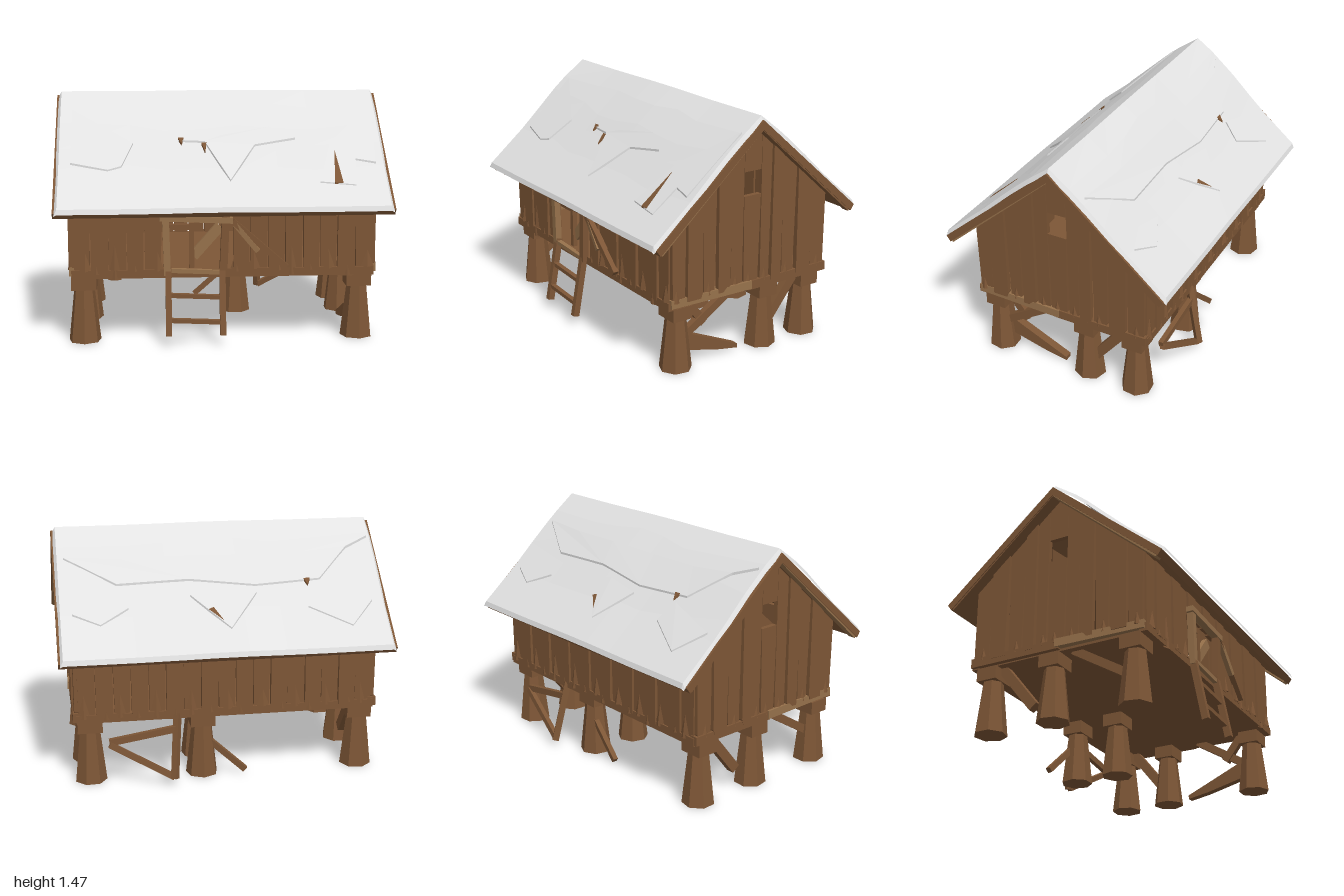
import * as THREE from 'three';

export function createModel() {
  const root = new THREE.Group();
  const mat = (name, color) => {
    const m = new THREE.MeshStandardMaterial({ color });
    m.name = name;
    return m;
  };
  const wood = mat('weathered wood', 0x7d5636);
  const worn = mat('worn pale wood', 0x96714b);
  const snow = mat('snow', 0xe2e2e2);

  let seed = 7;
  const rnd = (a, b) => {
    seed = (seed * 16807) % 2147483647;
    return a + (b - a) * (seed / 2147483647);
  };
  // faceted mesh
  const add = (name, geo, m) => {
    const g = geo.index ? geo.toNonIndexed() : geo;
    g.computeVertexNormals();
    const mesh = new THREE.Mesh(g, m);
    mesh.name = name;
    root.add(mesh);
    return mesh;
  };
  const box = (name, x, y, z, w, h, d, m = wood) =>
    add(name, new THREE.BoxGeometry(w, h, d).translate(x, y, z), m);
  // straight timber between two points
  const beam = (name, a, b, w, d, m = wood) => {
    const A = new THREE.Vector3(...a), B = new THREE.Vector3(...b);
    const dir = B.clone().sub(A), len = dir.length();
    const mesh = add(name, new THREE.BoxGeometry(w, len, d), m);
    mesh.position.copy(A).add(B).multiplyScalar(0.5);
    mesh.quaternion.setFromUnitVectors(new THREE.Vector3(0, 1, 0), dir.normalize());
  };
  const slab = (pts, depth) => new THREE.ExtrudeGeometry(
    new THREE.Shape(pts.map(p => new THREE.Vector2(...p))), { depth, bevelEnabled: false }
  ).translate(0, 0, -depth / 2);

  // floor and its edge timbers
  box('floor', 0, 0.425, 0, 1.78, 0.05, 1.1);
  for (const s of [-1, 1]) {
    box('sill', 0, 0.425, s * 0.55, 1.8, 0.05, 0.05);
    beam('gableSill', [s * 0.895, 0.435, -0.57], [s * 0.895, 0.435, 0.02], 0.05, 0.055);
    beam('gableSill', [s * 0.9, 0.44, 0], [s * 0.885, 0.44, 0.56], 0.055, 0.05, worn);
  }

  // stilts with square caps
  const stilts = [[-0.83, 0.47], [0.82, 0.47], [-0.83, -0.05], [0.82, -0.15],
    [0.13, -0.17], [-0.83, -0.47], [0.82, -0.47], [0.14, -0.47]];
  for (const [x, z] of stilts) {
    const post = add('stilt', new THREE.CylinderGeometry(0.06, 0.098, 0.34, 7), wood);
    post.position.set(x, 0.17, z);
    post.rotation.y = rnd(0, 3);
    box('stiltCap', x, 0.36, z, 0.15, 0.08, 0.13);
  }

  // braces between stilts
  for (const s of [-1, 1]) {
    beam('brace', [s * 0.83, 0.2, 0.42], [s * 0.83, 0.41, 0.08], 0.04, 0.05);
    beam('brace', [s * 0.82, 0.12, -0.18], [s * 0.82, 0.41, -0.41], 0.05, 0.06);
  }
  beam('brace', [0.82, 0.4, 0.4], [0.82, 0.24, 0.28], 0.04, 0.05);
  add('fallenBrace', slab([[0.4, 0.2], [0.4, 0.09], [0.16, 0.03], [0.02, 0.005], [0.02, 0.03]], 0.05)
    .rotateY(-Math.PI / 2).translate(0.8, 0, 0), wood);
  beam('brokenBrace', [0.1, 0.22, -0.5], [-0.12, 0.02, -0.52], 0.035, 0.03);

  // gable walls of tapering planks, with a small window
  const under = z => 1.41 - 0.88 * Math.abs(z);
  const edges = [-0.56, -0.45, -0.33, -0.22, -0.14, -0.06, 0.06, 0.15, 0.25, 0.35, 0.46, 0.56];
  for (const s of [-1, 1]) {
    const plank = (pts, off = 0) =>
      add('gablePlank', slab(pts, 0.03).rotateY(-Math.PI / 2).translate(s * (0.895 + off), 0, 0), wood);
    for (let i = 0; i < edges.length - 1; i++) {
      const a = edges[i], b = edges[i + 1], gap = 0.004 + 0.004 * (i % 3);
      const off = 0.012 * (i % 2);
      if (a === -0.06) {
        plank([[a + 0.01, 0.44], [b - 0.008, 0.44], [b, 0.985], [a, 0.985]]);
        plank([[a, 1.13], [b, 1.13], [b, under(b)], [0, under(0)], [a, under(a)]]);
      } else {
        plank([[a + gap, 0.47], [a + gap + 0.01, 0.44], [b - gap, 0.44], [b - gap, 0.52],
          [b - 0.002, under(b)], [a + 0.002, under(a)]], off);
      }
      // splintered plank foot
      const foot = add('plankFoot', new THREE.ConeGeometry(0.035, 0.11, 4), wood);
      foot.position.set(s * 0.905, 0.5, (a + b) / 2 + rnd(-0.02, 0.02));
      foot.scale.x = 0.5;
    }
    // rafters carrying the roof edge
    for (const t of [-1, 1])
      beam('rafter', [s * 0.965, 1.41, 0], [s * 0.965, 0.8, t * 0.69], 0.05, 0.045, t > 0 ? worn : wood);
  }
  add('windowShard', slab([[0.06, 0.985], [-0.06, 0.985], [-0.06, 1.09]], 0.02)
    .rotateY(-Math.PI / 2).translate(-0.87, 0, 0), wood);

  // long side walls, leaving the doorway open in front
  for (const s of [-1, 1]) {
    const n = 17, w = 1.78 / n;
    for (let i = 0; i < n; i++) {
      const a = -0.89 + i * w, b = a + w, c = (a + b) / 2;
      const door = s > 0 && c > -0.34 && c < 0.02;
      const low = door ? 0.74 : 0.43, g = rnd(0, 0.009);
      const p = add('sidePlank', slab([[a + g, low], [b - g, low], [b, 0.89], [a, 0.89]], 0.03), wood);
      p.position.z = s * (0.55 + 0.012 * (i % 2));
      if (door) continue;
      const foot = add('plankFoot', new THREE.ConeGeometry(0.04, rnd(0.1, 0.22), 4), wood);
      foot.position.set(c + rnd(-0.03, 0.03), 0.5, s * 0.565);
      foot.scale.z = 0.45;
    }
  }

  // doorway frame, inner hatch and leaning door board
  beam('doorPost', [-0.335, 0.42, 0.585], [-0.345, 0.77, 0.585], 0.04, 0.04, worn);
  beam('doorPost', [-0.005, 0.42, 0.585], [0.01, 0.77, 0.585], 0.045, 0.04);
  beam('doorHeader', [-0.38, 0.765, 0.59], [0.05, 0.745, 0.59], 0.035, 0.045, worn);
  box('hatchBoard', -0.19, 0.59, 0.545, 0.03, 0.27, 0.03);
  box('hatchBoard', -0.26, 0.7, 0.545, 0.15, 0.035, 0.03);
  beam('doorBrace', [-0.18, 0.52, 0.53], [-0.02, 0.7, 0.53], 0.06, 0.03, worn);
  beam('doorBoard', [0.05, 0.74, 0.59], [0.37, 0.46, 0.59], 0.035, 0.035);
  beam('doorBoard', [0.05, 0.74, 0.59], [0.2, 0.56, 0.6], 0.03, 0.03, worn);

  // front ladder
  for (const x of [-0.33, -0.01])
    beam('ladderRail', [x, 0.065, 0.655], [x, 0.47, 0.58], 0.035, 0.04);
  [[0.15, 0.64], [0.295, 0.612], [0.44, 0.585]].forEach(([y, z]) =>
    beam('ladderRung', [-0.33, y + 0.008, z], [-0.01, y - 0.008, z], 0.025, 0.03, y > 0.4 ? worn : wood));

  // broken rear ladder
  beam('rearLadderRail', [0.3, 0.43, -0.56], [0.33, 0.045, -0.65], 0.035, 0.04);
  beam('rearLadderRail', [0.33, 0.05, -0.64], [0.71, 0.26, -0.58], 0.035, 0.03);
  beam('rearLadderRung', [0.3, 0.34, -0.58], [0.71, 0.27, -0.57], 0.04, 0.03);

  // wooden roof shell
  add('roofBoards', slab([[0, 1.44], [0.715, 0.82], [0.69, 0.785], [0, 1.385],
    [-0.69, 0.785], [-0.715, 0.82]], 1.99).rotateY(-Math.PI / 2), wood);

  // snow blanket: fuller near the ridge, thin towards the eaves
  const snowY = (x, z) => {
    const a = Math.abs(z);
    const lump = 0.8 + 0.3 * Math.sin(5 * x + 3 * z);
    return 1.472 - 0.866 * a + 0.017 * Math.sin(2 * Math.PI * Math.min(a, 0.4) / 0.8) * lump
      - 0.008 * Math.max(0, Math.sin(Math.PI * (a - 0.4) / 0.33))
      - 0.006 * Math.abs(Math.sin(2.3 * x));
  };
  const sheet = new THREE.PlaneGeometry(1.97, 1.46, 9, 12).rotateX(-Math.PI / 2);
  const P = sheet.attributes.position;
  for (let i = 0; i < P.count; i++) {
    let x = P.getX(i), z = P.getZ(i);
    const endX = Math.abs(x) > 0.98, endZ = Math.abs(z) > 0.725;
    if (!endX && Math.abs(x) > 0.7) x = Math.sign(x) * 0.968;
    if (!endZ && Math.abs(z) > 0.58) z = Math.sign(z) * 0.72;
    else if (!endZ && Math.abs(z) > 0.01 && !endX) z += rnd(-0.03, 0.03);
    P.setXYZ(i, x, snowY(x, z) - (endX ? 0.03 : endZ ? 0.022 : 0), z);
  }
  add('snowBlanket', sheet, snow);

  // thin layers following the slope: drifts of snow and bare boards
  const onRoof = (name, side, pts, h, m) => {
    const g = slab(pts.map(([x, z]) => [x, -side * z]), h).rotateX(-Math.PI / 2);
    const q = g.attributes.position;
    for (let i = 0; i < q.count; i++)
      q.setY(i, q.getY(i) + snowY(q.getX(i), q.getZ(i)) + 0.003);
    add(name, g, m);
  };
  const drifts = [
    [1, [[-0.9, 0.15], [-0.53, 0.35], [-0.6, 0.48], [-0.68, 0.5], [-0.9, 0.46]]],
    [1, [[-0.26, 0.34], [-0.1, 0.35], [0.04, 0.57], [0.2, 0.37], [0.45, 0.33], [0.3, 0.27], [0, 0.32]]],
    [1, [[0.66, 0.36], [0.95, 0.12], [0.92, 0.47], [0.8, 0.45], [0.78, 0.6], [0.57, 0.58]]],
    [-1, [[-0.95, 0.14], [-0.8, 0.2], [-0.6, 0.36], [-0.5, 0.22]]],
    [-1, [[-0.6, 0.36], [-0.5, 0.22], [-0.15, 0.22], [-0.2, 0.38]]],
    [-1, [[-0.2, 0.38], [-0.15, 0.22], [0.25, 0.22], [0.2, 0.34]]],
    [-1, [[0.2, 0.34], [0.25, 0.22], [0.6, 0.22], [0.93, 0.2], [0.63, 0.35]]],
    [-1, [[-0.2, 0.42], [-0.02, 0.6], [0.2, 0.42], [0.05, 0.39]]],
    [-1, [[-0.9, 0.48], [-0.75, 0.61], [-0.5, 0.5], [-0.55, 0.4]]],
    [-1, [[0.57, 0.47], [0.74, 0.55], [0.9, 0.49], [0.75, 0.44]]],
  ];
  for (const [side, pts] of drifts) onRoof('snowDrift', side, pts, 0.018, snow);
  const bare = [
    [1, [[0.68, 0.4], [0.705, 0.59], [0.655, 0.59]]],
    [1, [[-0.26, 0.33], [-0.225, 0.33], [-0.24, 0.36]]],
    [1, [[-0.12, 0.36], [-0.09, 0.36], [-0.1, 0.41]]],
    [-1, [[0.02, 0.56], [0.1, 0.5], [0.07, 0.49]]],
    [-1, [[-0.54, 0.36], [-0.5, 0.36], [-0.52, 0.39]]],
  ];
  for (const [side, pts] of bare) onRoof('bareBoards', side, pts, 0.024, wood);

  return root;
}
